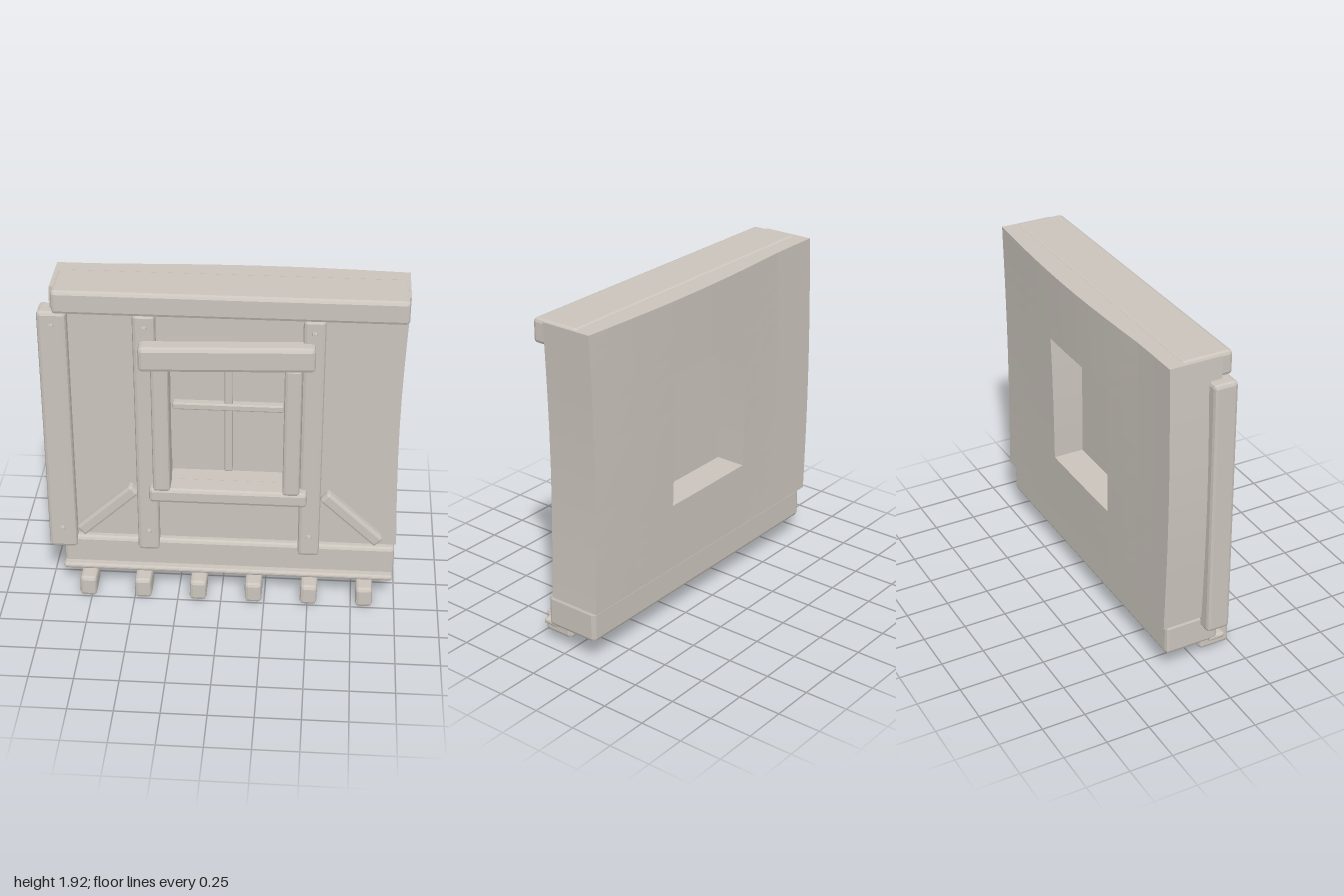
import * as THREE from 'three';
import { RoundedBoxGeometry } from 'three/addons/geometries/RoundedBoxGeometry.js';

const stone = new THREE.MeshStandardMaterial({ color: 0xcac4bc, flatShading: true });
stone.name = 'warmGrey';

export function createModel() {
  const model = new THREE.Group();
  model.name = 'wallWithWindow';

  const add = (name, geometry, parent = model) => {
    const mesh = new THREE.Mesh(geometry, stone);
    mesh.name = name;
    parent.add(mesh);
    return mesh;
  };

  // Chamfered timber given by its extents on each axis
  const timber = (name, [x0, x1], [y0, y1], [z0, z1], chamfer = 0.02) => {
    const mesh = add(name, new RoundedBoxGeometry(x1 - x0, y1 - y0, z1 - z0, 1, chamfer));
    mesh.position.set((x0 + x1) / 2, (y0 + y1) / 2, (z0 + z1) / 2);
    return mesh;
  };

  // Plaster wall: a 3 x 3 arrangement of blocks without the middle one, warped by one rule
  const wall = new THREE.Group();
  wall.name = 'wall';
  model.add(wall);
  const xs = [-0.93, -0.28, 0.365, 1.0];
  const ys = [0.33, 0.72, 1.5, 1.915];
  const front = 0.075, back = -0.225;
  const warp = (geometry) => {
    const p = geometry.attributes.position;
    for (let i = 0; i < p.count; i++) {
      const x = p.getX(i), y = p.getY(i), z = p.getZ(i);
      const t = (y - 0.33) / 1.585;
      const hump = Math.max(0, Math.cos(((x - 0.2) / 0.85) * Math.PI / 2));
      p.setX(i, x - 0.022 * Math.sin(Math.PI * t));
      if (z < -0.1) p.setZ(i, z - 0.01 * (1 - t) - 0.032 * hump * t);
    }
    return geometry;
  };
  for (let i = 0; i < 3; i++) {
    for (let j = 0; j < 3; j++) {
      if (i === 1 && j === 1) continue;
      const g = new THREE.BoxGeometry(xs[i + 1] - xs[i], ys[j + 1] - ys[j], front - back, 4, 4, 1);
      g.translate((xs[i] + xs[i + 1]) / 2, (ys[j] + ys[j + 1]) / 2, (front + back) / 2);
      add('wallBlock', warp(g), wall);
    }
  }

  // Horizontal beams
  timber('topBeam', [-0.915, 0.995], [1.785, 1.922], [-0.14, 0.15]);
  timber('bottomBeam', [-0.92, 0.99], [0.14, 0.325], [-0.21, 0.113]);
  timber('bottomTrim', [-0.92, 0.985], [0.13, 0.162], [0.06, 0.16], 0.012);

  // Posts with round pegs
  timber('cornerPost', [-1.0, -0.84], [0.265, 1.79], [0.0, 0.137]);
  timber('leftPost', [-0.485, -0.362], [0.265, 1.79], [0.03, 0.135]);
  timber('rightPost', [0.435, 0.557], [0.265, 1.79], [0.03, 0.135]);
  for (const x of [-0.92, -0.42, 0.497]) {
    for (const y of [0.4, 1.71]) {
      const peg = add('peg', new THREE.CylinderGeometry(0.016, 0.016, 0.06, 8));
      peg.rotation.x = Math.PI / 2;
      peg.position.set(x, y, 0.132);
    }
  }

  // Diagonal braces
  for (const [x, side] of [[-0.658, 1], [0.737, -1]]) {
    const brace = timber('brace', [-0.22, 0.22], [-0.037, 0.037], [0.04, 0.125], 0.015);
    brace.position.x = x;
    brace.position.y = 0.516;
    brace.rotation.z = side * 0.75;
  }

  // Joist ends below the bottom beam, leaning slightly
  for (let i = 0; i < 6; i++) {
    const x = -0.77 + i * 0.319;
    const joist = timber('joistEnd', [x - 0.048, x + 0.048], [0.003, 0.13], [0.065, 0.25]);
    joist.rotation.z = i % 2 ? 0.02 : -0.03;
  }

  // Window frame
  const lintel = timber('windowLintel', [-0.448, 0.505], [1.502, 1.648], [0.11, 0.222], 0.022);
  lintel.rotation.set(0, 0.04, 0.009);
  timber('windowSill', [-0.41, 0.48], [0.63, 0.722], [0.05, 0.19]);
  timber('leftJamb', [-0.385, -0.288], [0.71, 1.52], [0.05, 0.197], 0.018);
  timber('rightJamb', [0.342, 0.437], [0.71, 1.52], [0.05, 0.197], 0.018);

  // Pane and glazing bars
  const pane = add('pane', new THREE.BoxGeometry(0.69, 0.8, 0.02));
  pane.position.set(0.03, 1.11, -0.05);
  timber('verticalBar', [0.004, 0.05], [0.735, 1.505], [-0.05, -0.005], 0.008);
  timber('horizontalBar', [-0.285, 0.335], [1.138, 1.18], [-0.05, 0.005], 0.008);

  return model;
}
